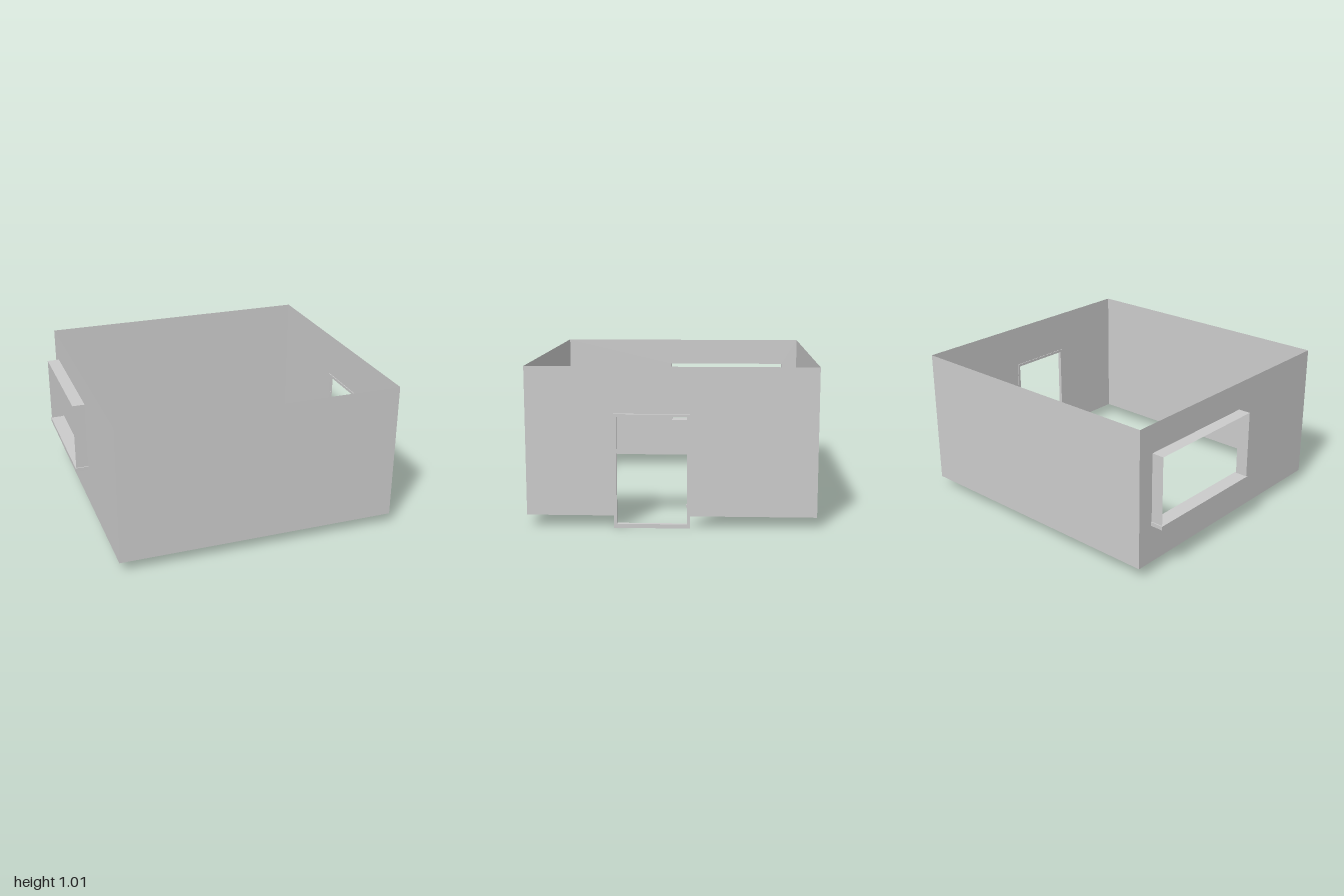
import * as THREE from 'three';

const wallMaterial = new THREE.MeshStandardMaterial({ color: 0xcccccc, side: THREE.DoubleSide });
const solidMaterial = new THREE.MeshStandardMaterial({ color: 0xcccccc });

// Room extents
const X0 = -0.912, X1 = 0.979, Z = 0.902, Y0 = 0.073, Y1 = 1.006;
// Door frame and window opening extents
const door = { x0: 0.974, x1: 1.0, z0: -0.116, z1: 0.354, y0: 0, y1: 0.716, jamb: 0.018, sill: 0.026 };
const win = { x0: -0.995, z0: -0.787, z1: 0.089, y0: 0.345, y1: 0.817 };

function box(name, x0, x1, y0, y1, z0, z1) {
  const mesh = new THREE.Mesh(new THREE.BoxGeometry(x1 - x0, y1 - y0, z1 - z0), solidMaterial);
  mesh.position.set((x0 + x1) / 2, (y0 + y1) / 2, (z0 + z1) / 2);
  mesh.name = name;
  return mesh;
}

function polygon(points) {
  return new THREE.Shape(points.map(([a, b]) => new THREE.Vector2(a, b)));
}

// Thin side wall at a given x, its outline drawn in (z, y)
function sideWall(name, x, shape) {
  const geometry = new THREE.ShapeGeometry(shape);
  geometry.rotateY(-Math.PI / 2);
  const mesh = new THREE.Mesh(geometry, wallMaterial);
  mesh.position.x = x;
  mesh.name = name;
  return mesh;
}

function panel(name, width, height) {
  const mesh = new THREE.Mesh(new THREE.PlaneGeometry(width, height), wallMaterial);
  mesh.name = name;
  return mesh;
}

export function createModel() {
  const model = new THREE.Group();
  model.name = 'room';

  // Plain front and back walls
  for (const [name, side] of [['frontWall', 1], ['backWall', -1]]) {
    const wall = panel(name, X1 - X0, Y1 - Y0);
    wall.position.set((X0 + X1) / 2, (Y0 + Y1) / 2, side * Z);
    if (side < 0) wall.rotation.y = Math.PI;
    model.add(wall);
  }

  // Door wall, notched from its lower edge
  const a = door.z0 + 0.009, b = door.z1 - 0.009, top = door.y1 - 0.009;
  model.add(sideWall('doorWall', X1, polygon([
    [-Z, Y0], [a, Y0], [a, top], [b, top], [b, Y0], [Z, Y0], [Z, Y1], [-Z, Y1],
  ])));

  // Window wall with its opening
  const windowWall = polygon([[-Z, Y0], [Z, Y0], [Z, Y1], [-Z, Y1]]);
  windowWall.holes.push(polygon([
    [win.z0, win.y0], [win.z0, win.y1], [win.z1, win.y1], [win.z1, win.y0],
  ]));
  model.add(sideWall('windowWall', X0, windowWall));

  // Window surround: thin lining that projects outward, on a solid sill
  const surround = new THREE.Group();
  surround.name = 'windowSurround';
  const depth = X0 - win.x0, midX = (X0 + win.x0) / 2;
  for (const [name, z] of [['windowRightSide', win.z0], ['windowLeftSide', win.z1]]) {
    const side = panel(name, depth, win.y1 - win.y0);
    side.position.set(midX, (win.y0 + win.y1) / 2, z);
    surround.add(side);
  }
  const head = panel('windowHead', depth, win.z1 - win.z0);
  head.rotation.x = -Math.PI / 2;
  head.position.set(midX, win.y1, (win.z0 + win.z1) / 2);
  surround.add(head, box('windowSill', -1, -0.902, 0.332, 0.358, win.z0 - 0.007, win.z1 + 0.007));
  model.add(surround);

  // Door frame: two jambs, header and threshold
  const { x0, x1, y0, y1, z0, z1, jamb, sill } = door;
  const frame = new THREE.Group();
  frame.name = 'doorFrame';
  frame.add(
    box('backJamb', x0, x1, y0, y1, z0, z0 + jamb),
    box('frontJamb', x0, x1, y0, y1, z1 - jamb, z1),
    box('header', x0, x1, y1 - jamb, y1, z0 + jamb, z1 - jamb),
    box('threshold', x0, x1, y0, y0 + sill, z0 + jamb, z1 - jamb),
  );
  // Small hinges on the back jamb
  for (const y of [0.143, 0.563]) {
    frame.add(box('hinge', 0.982, 0.992, y - 0.009, y + 0.009, z0 + jamb, z0 + jamb + 0.007));
  }
  model.add(frame);
  return model;
}
